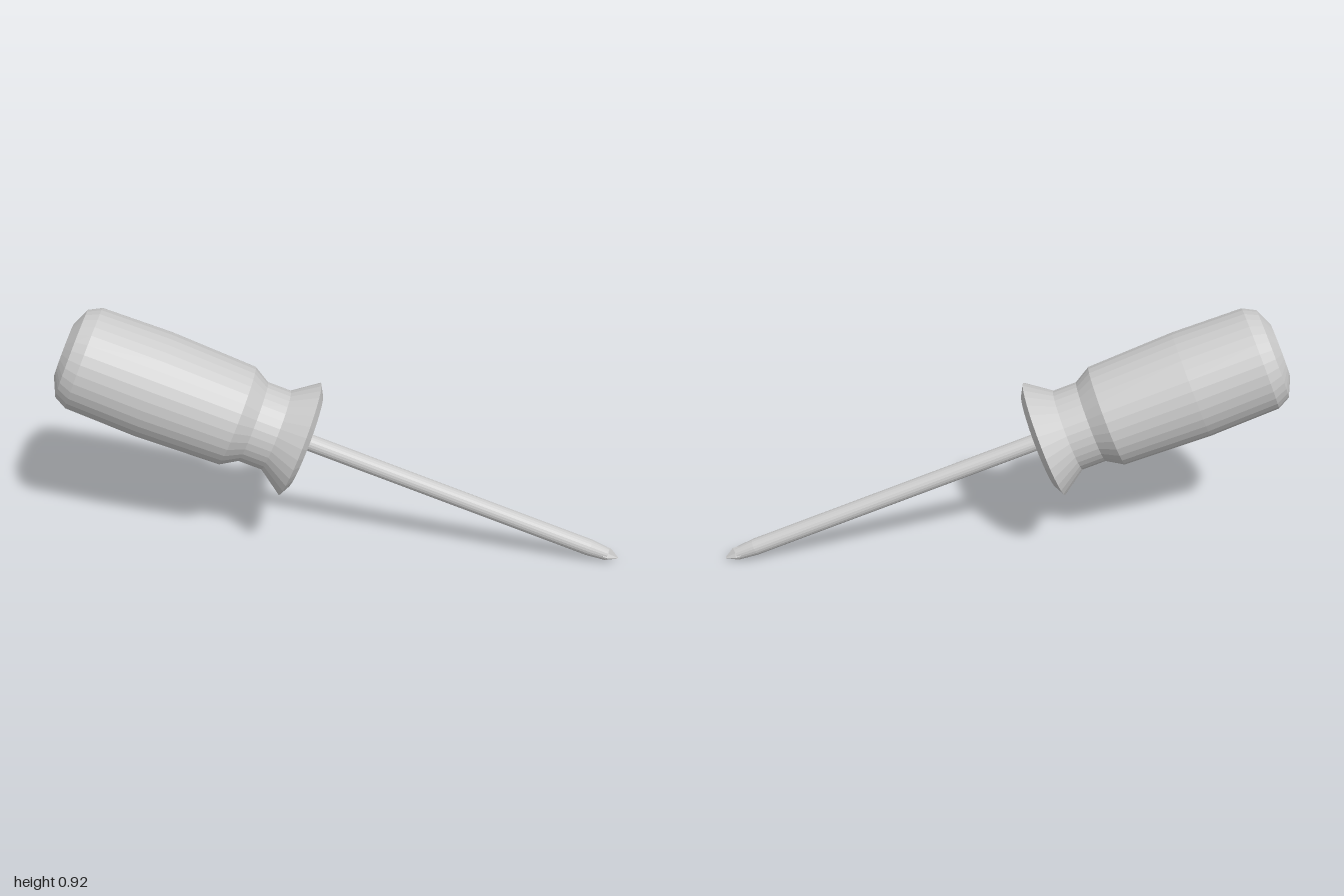
import * as THREE from 'three';

const material = new THREE.MeshStandardMaterial({ color: 0xcccccc, flatShading: true });

// Turned part: profile of [radius, distance from the tip], from the tip upwards
function turned(name, profile, sides) {
  const points = profile.map(([r, s]) => new THREE.Vector2(r, s));
  const mesh = new THREE.Mesh(new THREE.LatheGeometry(points, sides), material);
  mesh.name = name;
  return mesh;
}

// Cross-shaped bit: an eight-sided cylinder with every other corner pulled in
function crossTip() {
  const geometry = new THREE.CylinderGeometry(1, 1, 2, 8, 2);
  const rows = [[0.003, 0], [0.028, 0.04], [0.027, 0.06]];
  const p = geometry.attributes.position;
  for (let i = 0; i < p.count; i++) {
    const x = p.getX(i), z = p.getZ(i);
    const [radius, height] = rows[Math.round(p.getY(i)) + 1];
    const isGroove = Math.abs(x * z) > 0.1;
    const k = radius * (isGroove ? 0.4 : 1);
    p.setXYZ(i, x * k, height, z * k);
  }
  geometry.computeVertexNormals();
  const mesh = new THREE.Mesh(geometry, material);
  mesh.name = 'crossTip';
  return mesh;
}

export function createModel() {
  const model = new THREE.Group();
  model.name = 'screwdriver';

  // Grip, neck and flared guard in one turned piece
  model.add(turned('handle', [
    [0, 1.207], [0.173, 1.207], [0.211, 1.228], // guard face and rim
    [0.148, 1.317], [0.148, 1.403],             // neck
    [0.183, 1.462], [0.193, 1.775], [0.186, 2.03], // barrel
    [0.162, 2.075], [0.097, 2.104], [0, 2.104], // rounded butt
  ], 32));

  // Steel rod narrowing towards the bit
  model.add(turned('shaft', [
    [0, 0.045], [0.023, 0.045], [0.03, 0.115], [0.03, 1.22],
  ], 20));

  model.add(crossTip());

  // Lean the tool so it slopes down to the tip
  model.rotation.z = THREE.MathUtils.degToRad(68.8);
  model.position.set(0.997, 0.013, 0);

  const root = new THREE.Group();
  root.add(model);
  return root;
}
